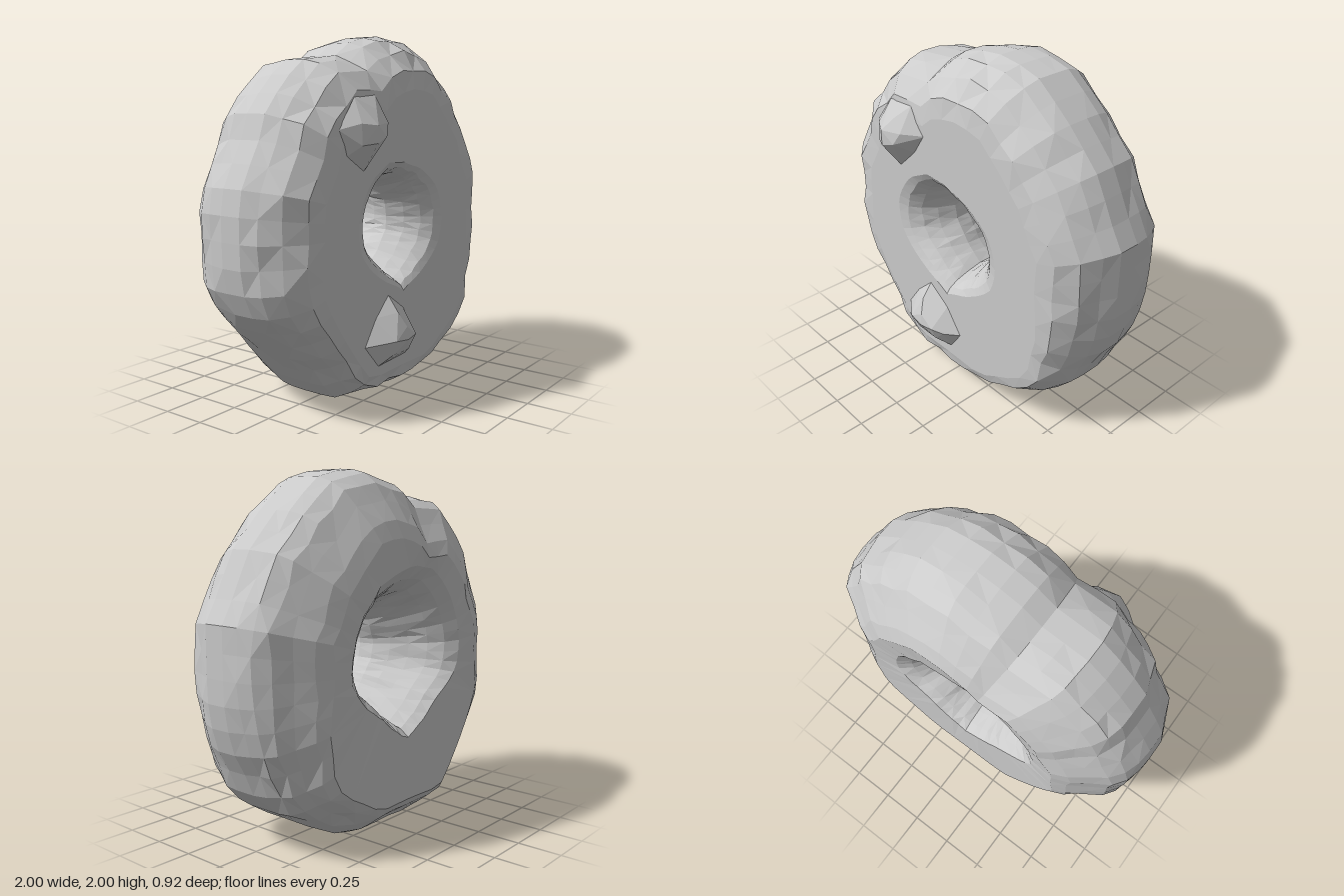
import * as THREE from 'three';
import { ConvexGeometry } from 'three/addons/geometries/ConvexGeometry.js';

const CY = 0.96; // height of the ring's axis

// Outer silhouette and narrowest hole contour, counter-clockwise (x, y)
const OUTER = [[1, 0.98], [1, 1.25], [0.96, 1.31], [0.89, 1.4], [0.86, 1.52], [0.8, 1.6], [0.6, 1.8], [0.38, 1.97],
  [0.12, 2], [-0.1, 1.97], [-0.24, 1.88], [-0.52, 1.85], [-0.64, 1.76], [-0.8, 1.6], [-0.87, 1.4], [-0.97, 1.27],
  [-1, 1.1], [-1, 0.85], [-0.96, 0.63], [-0.85, 0.5], [-0.6, 0.25], [-0.4, 0.03], [-0.25, 0], [0.25, 0],
  [0.4, 0.04], [0.55, 0.13], [0.7, 0.2], [0.83, 0.35], [0.88, 0.48], [0.96, 0.61], [1, 0.85]];
const HOLE = [[0.2, 0.95], [0.18, 1.05], [0.1, 1.15], [0, 1.2], [-0.1, 1.2], [-0.18, 1.12], [-0.22, 1],
  [-0.2, 0.9], [-0.1, 0.77], [0, 0.69], [0.1, 0.76], [0.19, 0.88]];

// Cross-section: [zone, offset, z], outer rim -> front -> hole -> back
const PROFILE = [['rim', 0, -0.06], ['rim', 0, 0.06], ['rim', 0.03, 0.15], ['rim', 0.09, 0.25], ['rim', 0.19, 0.33],
  ['rim', 0.3, 0.345], ['rim', 0.42, 0.345], ['mouth', 0.21, 0.345], ['mouth', 0.15, 0.325], ['mouth', 0.09, 0.27],
  ['mouth', 0.04, 0.19], ['hole', 0, 0.09], ['hole', 0.01, 0], ['hole', 0.05, -0.1], ['hole', 0.1, -0.2],
  ['hole', 0.15, -0.3], ['hole', 0.21, -0.38], ['hole', 0.28, -0.435], ['rim', 0.37, -0.455],
  ['rim', 0.28, -0.42], ['rim', 0.18, -0.355], ['rim', 0.09, -0.3], ['rim', 0.035, -0.23], ['rim', 0.01, -0.15]];

// Radius of a star-shaped contour in direction a (ray against each edge)
function radiusAt(contour, a) {
  const c = Math.cos(a), s = Math.sin(a);
  for (let i = 0; i < contour.length; i++) {
    const [x1, y1] = contour[i], [x2, y2] = contour[(i + 1) % contour.length];
    const ex = x2 - x1, ey = y2 - y1, det = c * ey - s * ex;
    if (Math.abs(det) < 1e-9) continue;
    const t = (x1 * ey - (y1 - CY) * ex) / det;
    const k = (x1 * s - (y1 - CY) * c) / det;
    if (t > 0 && k >= -1e-6 && k <= 1 + 1e-6) return t;
  }
  return 0.2;
}

// Lumpy ring lofted from the cross-section
function ringGeometry() {
  const n = 48, m = PROFILE.length, pos = [], idx = [];
  let seed = 7;
  const rand = () => (seed = (seed * 16807) % 2147483647) / 2147483647;
  for (let i = 0; i < n; i++) {
    const a = (i / n) * Math.PI * 2;
    const outer = radiusAt(OUTER, a), hole = radiusAt(HOLE, a);
    // Underside: tighter rounding and a less flared hole; the mouth is wider than it is tall
    const low = THREE.MathUtils.smoothstep(-Math.sin(a), 0, 0.85);
    const scale = { rim: 1 - 0.48 * low, mouth: 0.5 + 0.5 * Math.cos(a) ** 2, hole: 1 - 0.45 * low };
    PROFILE.forEach(([zone, off, z]) => {
      const flat = off === 0 || z > 0.33 || z < -0.44;
      const lump = flat ? 0 : (rand() - 0.5) * (zone === 'rim' ? 0.024 : 0.01);
      const r = (zone === 'rim' ? outer - off * scale.rim : hole + off * scale[zone]) + lump;
      pos.push(r * Math.cos(a), CY + r * Math.sin(a), z + lump * 0.4);
    });
    for (let j = 0; j < m; j++) {
      const i2 = (i + 1) % n, j2 = (j + 1) % m;
      const p = i * m + j, q = i2 * m + j, r = i2 * m + j2, s = i * m + j2;
      if ((i + j) % 2) idx.push(p, q, r, p, r, s);
      else idx.push(p, q, s, q, r, s);
    }
  }
  const g = new THREE.BufferGeometry();
  g.setAttribute('position', new THREE.Float32BufferAttribute(pos, 3));
  g.setIndex(idx);
  g.computeVertexNormals();
  return g;
}

// Faceted lump: base outline sunk into the front face plus raised points
function bumpGeometry(base, top) {
  const pts = base.map(([x, y]) => new THREE.Vector3(x, y, 0.335));
  top.forEach(p => pts.push(new THREE.Vector3(...p)));
  return new ConvexGeometry(pts);
}

export function createModel() {
  const group = new THREE.Group();
  const mat = new THREE.MeshStandardMaterial({ color: 0xcccccc, flatShading: true });
  const add = (name, geo) => {
    const mesh = new THREE.Mesh(geo, mat);
    mesh.name = name;
    group.add(mesh);
  };

  add('ring', ringGeometry());
  add('upperBump', bumpGeometry(
    [[-0.27, 1.67], [-0.15, 1.53], [-0.24, 1.4], [-0.38, 1.27], [-0.53, 1.36], [-0.58, 1.5], [-0.45, 1.66]],
    [[-0.27, 1.53, 0.42], [-0.31, 1.46, 0.44], [-0.4, 1.43, 0.45], [-0.4, 1.52, 0.45], [-0.48, 1.42, 0.41],
      [-0.48, 1.53, 0.405], [-0.34, 1.6, 0.395]]));
  add('lowerBump', bumpGeometry(
    [[-0.15, 0.6], [0, 0.5], [0.12, 0.34], [0.03, 0.21], [-0.25, 0.2], [-0.38, 0.34], [-0.28, 0.48]],
    [[-0.22, 0.36, 0.45], [-0.12, 0.35, 0.46], [-0.03, 0.36, 0.45], [-0.12, 0.42, 0.45], [0.03, 0.34, 0.41],
      [-0.2, 0.27, 0.41], [-0.04, 0.27, 0.41], [-0.15, 0.5, 0.41]]));
  return group;
}
